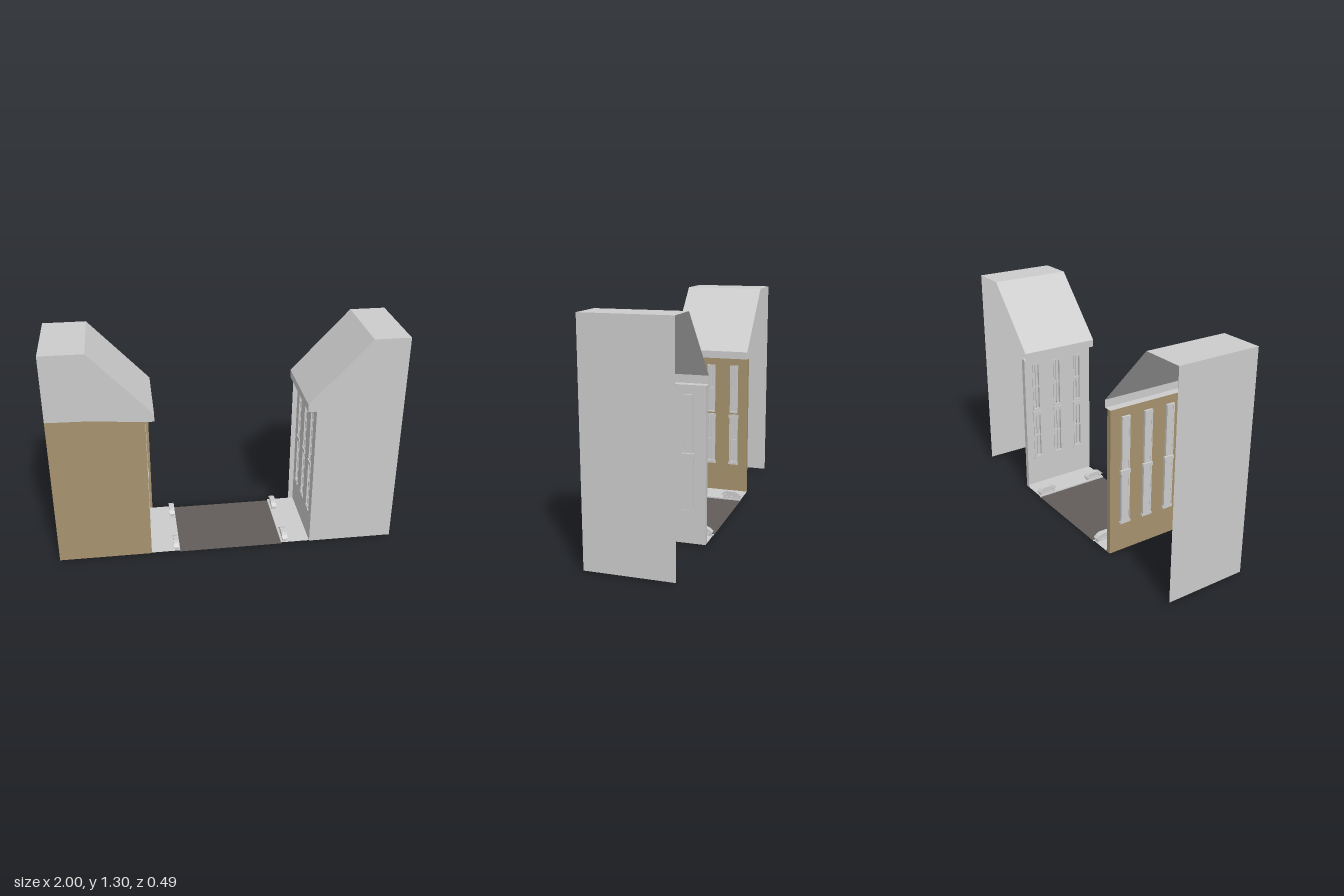
import * as THREE from 'three';

const grey = new THREE.MeshStandardMaterial({ color: 0xcccccc, side: THREE.DoubleSide, flatShading: true });
const tan = new THREE.MeshStandardMaterial({ color: 0xa6926e, side: THREE.DoubleSide, flatShading: true });
const asphalt = new THREE.MeshStandardMaterial({ color: 0x625d5b, side: THREE.DoubleSide, flatShading: true });
const Z = 0.245; // half depth of the street section
const BASE = 0.01; // pavement level

function add(parent, name, geometry, material = grey) {
  const mesh = new THREE.Mesh(geometry, material);
  mesh.name = name;
  parent.add(mesh);
  return mesh;
}

function box(parent, name, size, pos, material = grey) {
  const mesh = add(parent, name, new THREE.BoxGeometry(...size), material);
  mesh.position.set(...pos);
  return mesh;
}

const toShape = (pts) => new THREE.Shape(pts.map(([a, b]) => new THREE.Vector2(a, b)));

// flat upright sheet in the x-y plane at depth z
function sheet(parent, name, pts, z, material) {
  add(parent, name, new THREE.ShapeGeometry(toShape(pts)), material).position.z = z;
}

// x-y profile swept along z as an open, creased surface
function sweep(parent, name, profile, z0, z1, material) {
  const pos = [];
  for (let i = 0; i + 1 < profile.length; i++) {
    const [a, b] = profile[i], [c, d] = profile[i + 1];
    pos.push(a, b, z0, c, d, z0, c, d, z1, a, b, z0, c, d, z1, a, b, z1);
  }
  const g = new THREE.BufferGeometry();
  g.setAttribute('position', new THREE.Float32BufferAttribute(pos, 3));
  g.computeVertexNormals();
  add(parent, name, g, material);
}

const COLUMNS = [-0.15, 0, 0.15];
const SASHES = [
  { y0: 0.53, y1: 0.84, w: 0.052, rows: 2 },
  { y0: 0.2, y1: 0.5, w: 0.056, rows: 2 },
];

// street wall with real window openings
function facade(parent, x, material) {
  const shape = toShape([[-Z, BASE], [Z, BASE], [Z, 0.89], [-Z, 0.89]]);
  for (const z of COLUMNS) for (const { y0, y1, w } of SASHES) {
    const h = w / 2;
    shape.holes.push(new THREE.Path([[z - h, y0], [z - h, y1], [z + h, y1], [z + h, y0]]
      .map(([a, b]) => new THREE.Vector2(a, b))));
  }
  const g = new THREE.ShapeGeometry(shape).rotateY(-Math.PI / 2);
  add(parent, 'streetWall', g, material).position.x = x;
}

// framed window; "out" is the x direction towards the street
function windowUnit(parent, x, z, out, { y0, y1, w, rows }, lower) {
  const g = new THREE.Group();
  g.name = lower ? 'lowerWindow' : 'upperWindow';
  g.position.set(x, 0, z);
  parent.add(g);
  const h = y1 - y0, mid = (y0 + y1) / 2, t = 0.008;
  box(g, 'glass', [0.002, h, w], [-out * 0.012, mid, 0]);
  for (const k of [-1, 1]) {
    box(g, 'jamb', [0.018, h, t], [-out * 0.005, mid, k * (w - t) / 2]);
  }
  for (const y of [y0 + t / 2, y1 - t / 2]) box(g, 'rail', [0.018, t, w], [-out * 0.005, y, 0]);
  for (let i = 1; i < rows; i++) {
    box(g, 'crossBar', [0.01, 0.01, w], [-out * 0.007, y0 + h * i / rows, 0]);
  }
  box(g, 'mullion', [0.008, h, 0.004], [-out * 0.008, mid, 0]);
  if (lower) {
    box(g, 'sill', [0.022, 0.014, w + 0.012], [-out * 0.004, y0 - 0.005, 0]);
    box(g, 'lintel', [0.022, 0.022, w + 0.01], [-out * 0.004, y1 + 0.009, 0]);
  }
}

// open-backed house shell; s is its side of the street
function house(parent, name, s, shift, material) {
  const g = new THREE.Group();
  g.name = name;
  parent.add(g);
  const at = (x) => s * (x + shift);
  const wall = at(0.46), strip = at(0.43), eave = at(0.41), ridge = at(0.755), outer = s;

  // walls
  sheet(g, 'frontWall', [[outer, BASE], [wall, BASE], [wall, 0.89], [ridge, 0.915], [outer, 0.92]], Z, material);
  sheet(g, 'rearStrip', [[wall, BASE], [strip, BASE], [strip, 0.89], [wall, 0.89]], -Z, material);
  sweep(g, 'outerWall', [[outer, BASE], [outer, 1.305]], -Z, Z, grey);
  facade(g, wall, material);

  // roof with gable, fascia and soffit
  sheet(g, 'gable', [[outer, 0.92], [ridge, 0.915], [wall, 0.89], [eave, 0.89], [eave, 0.935], [ridge, 1.305], [outer, 1.305]], Z, grey);
  sweep(g, 'roof', [[outer, 1.305], [ridge, 1.305], [eave, 0.935], [eave, 0.89], [wall, 0.89]], -Z, Z, grey);

  // windows
  for (const z of COLUMNS) SASHES.forEach((sash, i) => windowUnit(g, wall, z, -s, sash, i === 1));
}

// kerbside bench with an arched seat on two feet and a base rail
function bench(parent, x, z) {
  const g = new THREE.Group();
  g.name = 'bench';
  g.position.set(x, BASE, z);
  parent.add(g);
  const seat = toShape([[-0.062, 0.016], [-0.062, 0.023], [-0.045, 0.038], [-0.025, 0.046],
    [0.025, 0.046], [0.045, 0.038], [0.062, 0.023], [0.062, 0.016], [0.042, 0.029], [-0.042, 0.029]]);
  const geo = new THREE.ExtrudeGeometry(seat, { depth: 0.032, bevelEnabled: false });
  add(g, 'seat', geo.translate(0, 0, -0.016).rotateY(-Math.PI / 2));
  box(g, 'web', [0.012, 0.03, 0.08], [0, 0.015, 0]);
  box(g, 'baseRail', [0.022, 0.01, 0.11], [0, 0.005, 0]);
  for (const k of [-1, 1]) box(g, 'foot', [0.024, 0.02, 0.014], [0, 0.01, k * 0.046]);
}

export function createModel() {
  const model = new THREE.Group();
  model.name = 'streetSection';

  house(model, 'tanHouse', -1, 0, tan);
  house(model, 'greyHouse', 1, 0.037, grey);

  // road and pavements with kerb faces
  sweep(model, 'road', [[-0.29, 0.002], [0.325, 0.002]], -0.243, 0.24, asphalt);
  sweep(model, 'rightPavement', [[-0.46, BASE], [-0.29, BASE], [-0.29, 0]], -Z, 0.24, grey);
  sweep(model, 'leftPavement', [[0.497, BASE], [0.325, BASE], [0.325, 0]], -Z, 0.24, grey);

  // street furniture
  for (const x of [-0.31, 0.348]) for (const z of [-0.181, 0.177]) bench(model, x, z);
  return model;
}
